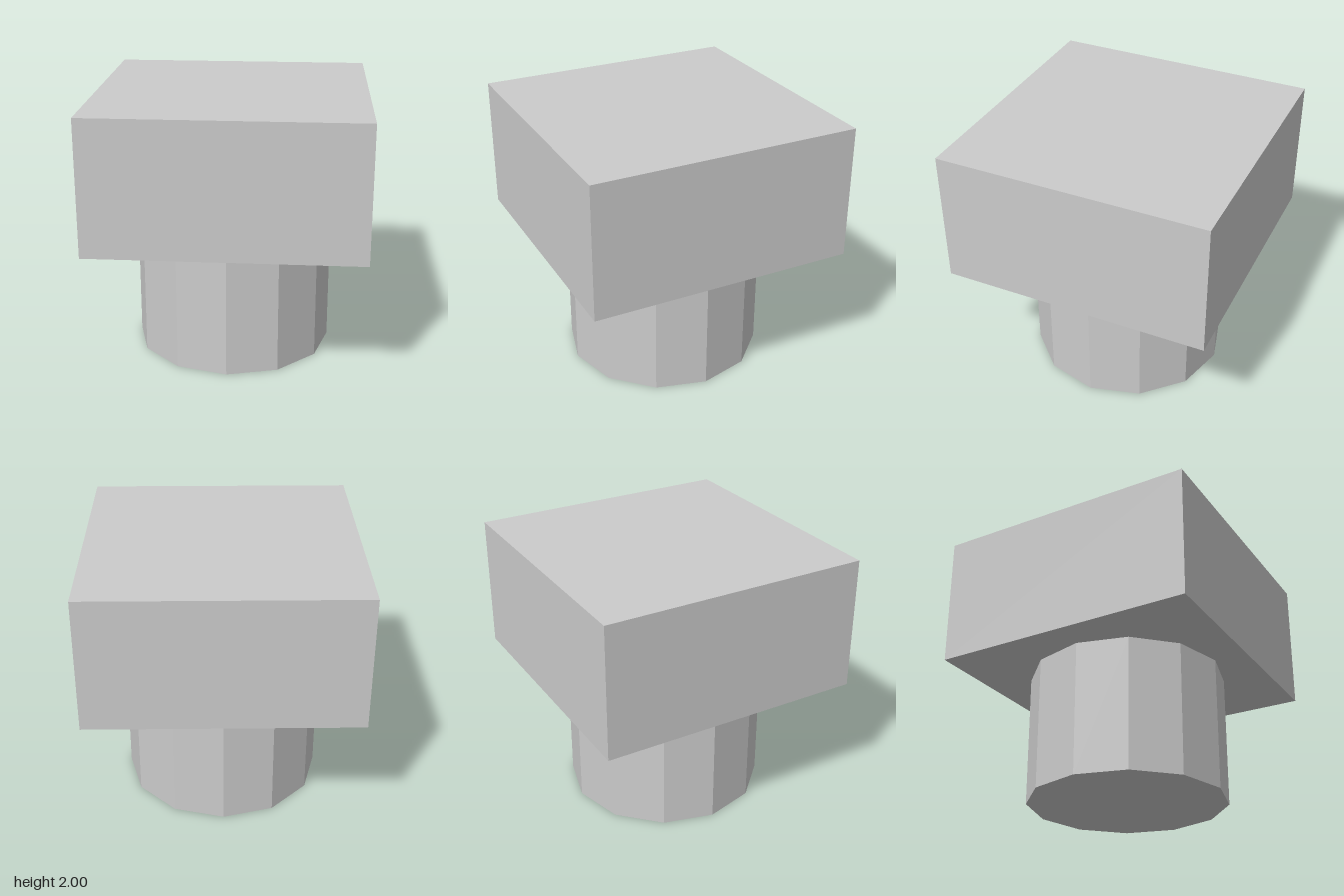
import * as THREE from 'three';

export function createModel() {
  const model = new THREE.Group();
  const material = new THREE.MeshStandardMaterial({ color: 0xcccccc, flatShading: true });

  const addPart = (name, geometry, y) => {
    const mesh = new THREE.Mesh(geometry, material);
    mesh.name = name;
    mesh.position.y = y;
    model.add(mesh);
  };

  // Twelve-sided post with corners on the x and z axes
  addPart('post', new THREE.CylinderGeometry(0.75, 0.75, 1, 12), 0.5);

  // Square block resting on the post
  addPart('block', new THREE.BoxGeometry(2, 1, 2), 1.5);

  return model;
}
